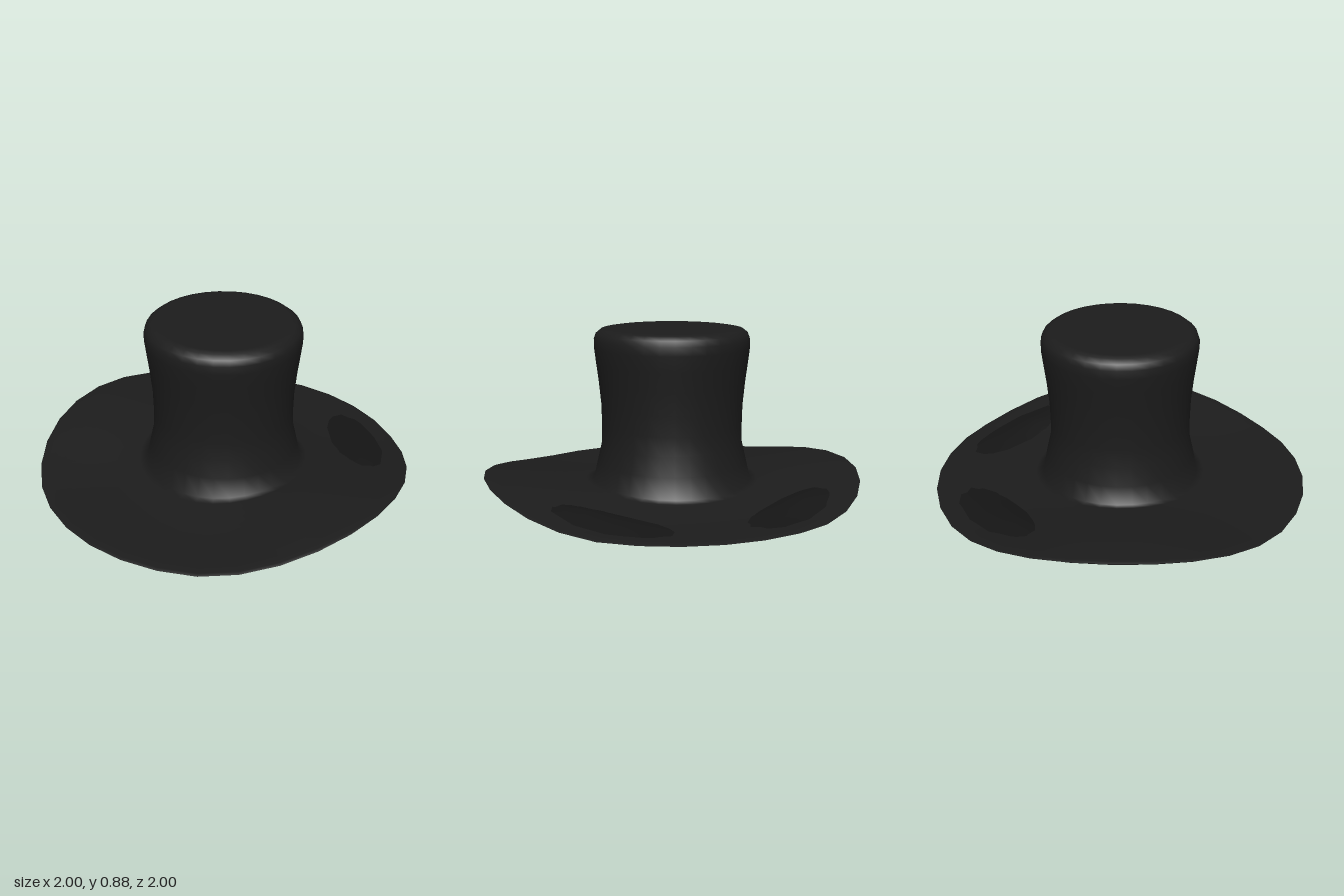
import * as THREE from 'three';

const SEGMENTS = 32;

// Height of the outer edge: curled up at the sides, low at front and back
function rimHeight(angle) {
  const lift = Math.max(0, (Math.abs(Math.sin(angle)) - 0.5) / 0.5);
  return 0.024 + 0.008 * Math.cos(angle) + 0.105 * lift * lift;
}

// Upper face of the brim: straight slope at the sides, quick fillet at front and back
function topHeight(r, angle) {
  const x2 = Math.sin(angle) ** 2;
  const s = THREE.MathUtils.clamp((r - 0.42) / 0.58, 0, 1);
  const ease = 1 - Math.pow(1 - s, 4 - 2.5 * x2);
  return THREE.MathUtils.lerp(0.055 + 0.02 * x2, rimHeight(angle), ease);
}

// Underside: a shallow bowl, rising through the top in two ovals at the back
function underHeight(r, angle) {
  const bowl = 0.002 + (rimHeight(angle) - 0.015) * Math.pow(r, 4);
  const dx = Math.abs(r * Math.sin(angle)) - 0.45;
  const dz = r * Math.cos(angle) + 0.62;
  const along = (dx * 0.78 + dz * 0.63) / 0.37;
  const across = (dx * 0.63 - dz * 0.78) / 0.145;
  const bulge = 2.2 * Math.exp(-along * along - across * across);
  return THREE.MathUtils.lerp(bowl, topHeight(r, angle), bulge);
}

// Skin over concentric rings, listed from the centre outwards
function ringSurface(radii, height, faceUp) {
  const positions = [0, height(0, 0, 0), 0], index = [];
  const tri = (a, b, c) => (faceUp ? index.push(a, b, c) : index.push(a, c, b));
  radii.forEach((r, i) => {
    for (let j = 0; j < SEGMENTS; j++) {
      const a = (j / SEGMENTS) * Math.PI * 2;
      positions.push(r * Math.sin(a), height(r, a, i + 1), r * Math.cos(a));
    }
  });
  const at = (i, j) => 1 + i * SEGMENTS + (j % SEGMENTS);
  for (let j = 0; j < SEGMENTS; j++) {
    tri(0, at(0, j), at(0, j + 1));
    for (let i = 0; i < radii.length - 1; i++) {
      tri(at(i, j), at(i + 1, j), at(i + 1, j + 1));
      tri(at(i, j), at(i + 1, j + 1), at(i, j + 1));
    }
  }
  const geometry = new THREE.BufferGeometry();
  geometry.setAttribute('position', new THREE.Float32BufferAttribute(positions, 3));
  geometry.setIndex(index);
  geometry.computeVertexNormals();
  return geometry;
}

export function createModel() {
  const hat = new THREE.Group();
  hat.name = 'topHat';
  const felt = new THREE.MeshStandardMaterial({ color: 0x1c1c1c, side: THREE.DoubleSide });
  const lining = new THREE.MeshStandardMaterial({ color: 0x151515, side: THREE.DoubleSide });

  // Crown profile from the flat top down to the flared base: [radius, height]
  const crown = [
    [0.2, 0.88], [0.345, 0.88], [0.375, 0.875], [0.4, 0.855], [0.411, 0.825], [0.411, 0.78],
    [0.401, 0.7], [0.388, 0.6], [0.376, 0.48], [0.373, 0.37], [0.375, 0.27], [0.398, 0.17],
  ];
  const brimRadii = [0.46, 0.52, 0.58, 0.64, 0.7, 0.76, 0.82, 0.88, 0.94, 0.985];

  // Crown flowing into the upper brim, with the rim turned over
  const upperRadii = [...crown.map((p) => p[0]), 0.42, ...brimRadii, 1];
  const upper = new THREE.Mesh(ringSurface(upperRadii, (r, a, i) => {
    if (i === 0) return 0.88;
    if (i <= crown.length) return crown[i - 1][1];
    return topHeight(r, a) - (r === 1 ? 0.006 : 0);
  }, true), felt);
  upper.name = 'crownAndBrim';
  hat.add(upper);

  // Closed underside of the brim, meeting the turned rim
  const underRadii = [0.15, 0.3, 0.4, ...brimRadii, 1];
  const under = new THREE.Mesh(ringSurface(underRadii, (r, a) => (
    r === 1 ? rimHeight(a) - 0.006 : underHeight(r, a)
  ), false), lining);
  under.name = 'brimUnderside';
  hat.add(under);

  return hat;
}
